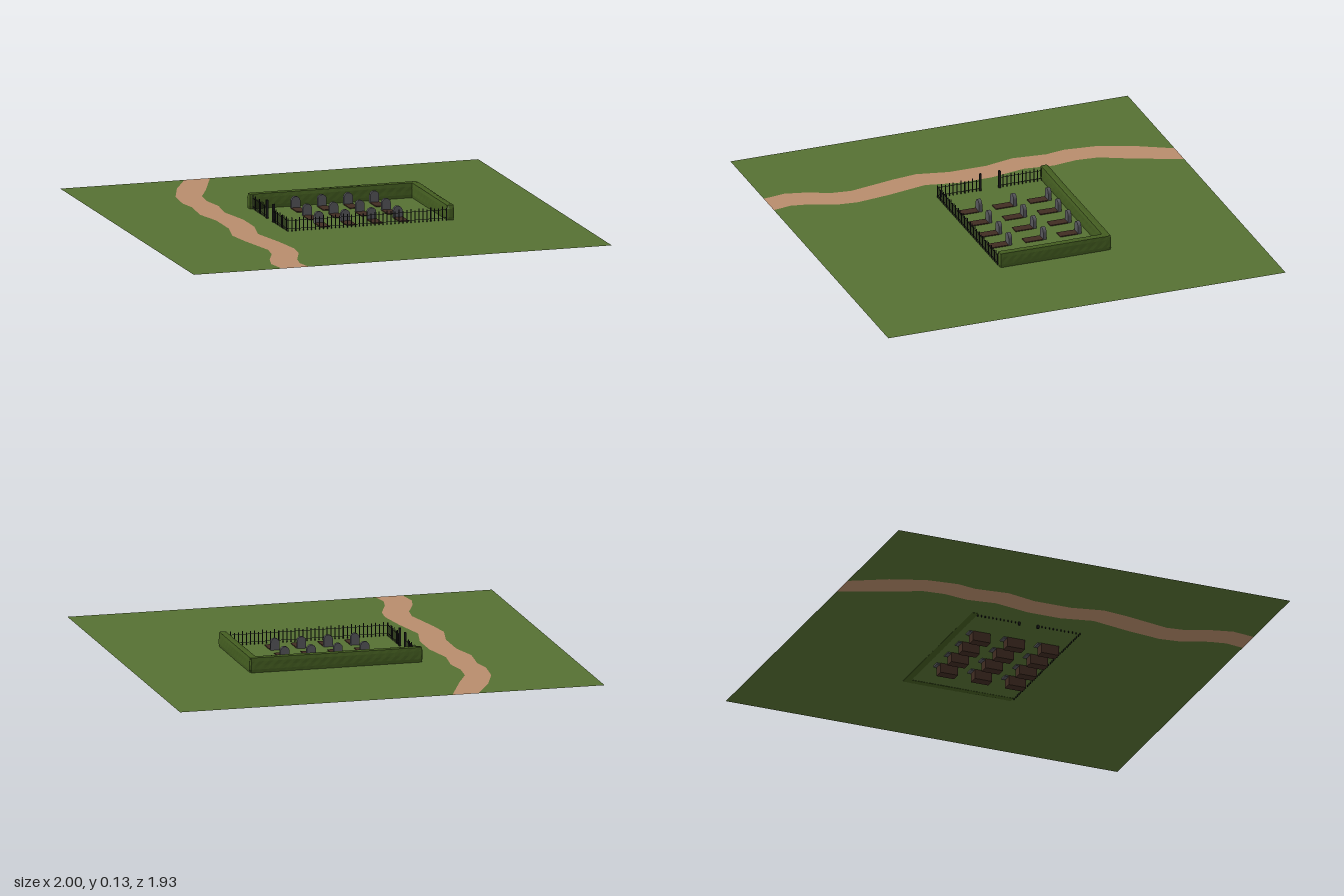
import * as THREE from 'three';
import { mergeVertices } from 'three/addons/utils/BufferGeometryUtils.js';

const GROUND = 0.046, DEPTH = 0.967;
const mat = (color, extra = {}) => new THREE.MeshStandardMaterial({ color, ...extra });
const grass = mat(0x567033, { side: THREE.DoubleSide });
const dirt = mat(0xb88c6c, { side: THREE.DoubleSide });
const soil = mat(0x402c22);
const stone = mat(0x55555a);
const iron = mat(0x1c1c1c);
const leaves = mat(0x435c20, { flatShading: true });

function add(parent, name, geometry, material, x = 0, y = 0, z = 0) {
  const mesh = new THREE.Mesh(geometry, material);
  mesh.name = name;
  mesh.position.set(x, y, z);
  parent.add(mesh);
  return mesh;
}

// Flat area from an outline of [x, z] points
function flat(points) {
  const shape = new THREE.Shape(points.map(([x, z]) => new THREE.Vector2(x, -z)));
  return new THREE.ShapeGeometry(shape).rotateX(-Math.PI / 2);
}

// Hedge along x: softened box with a leafy, uneven surface
function hedgeGeometry(length, height, width) {
  const n = Math.round(length / 0.022);
  let geo = new THREE.BoxGeometry(length, height, width, n, 4, 3);
  geo.deleteAttribute('normal');
  geo.deleteAttribute('uv');
  geo = mergeVertices(geo);
  const p = geo.attributes.position;
  for (let i = 0; i < p.count; i++) {
    let x = p.getX(i), y = p.getY(i), z = p.getZ(i);
    const wave = Math.sin(x * 211 + y * 97) * Math.cos(z * 173 + x * 67);
    const top = Math.abs(y) > height * 0.49;
    const side = Math.abs(z) > width * 0.49;
    const end = Math.abs(x) > length * 0.499;
    const round = top && side ? 0.86 : 1;
    z *= round * (1 + 0.06 * wave);
    y *= (top && (side || end) ? 0.95 : 1) * (1 + 0.025 * wave);
    if (end) x -= Math.sign(x) * (top || side ? 0.006 : 0);
    p.setXYZ(i, x, y, z);
  }
  geo.computeVertexNormals();
  return geo;
}

// Fence run along x: thin pickets of varied height and two rails
function fence(name, length) {
  const group = new THREE.Group();
  group.name = name;
  const count = Math.round(length / 0.019);
  for (let i = 0; i <= count; i++) {
    const h = 0.07 + 0.005 * Math.sin(i * 2.3);
    const x = -length / 2 + (i * length) / count;
    add(group, 'picket', new THREE.BoxGeometry(0.004, h, 0.003), iron, x, 0.037 + h / 2, 0);
  }
  for (const y of [0.058, 0.096])
    add(group, 'rail', new THREE.BoxGeometry(length, 0.002, 0.0015), iron, 0, y, 0);
  return group;
}

export function createModel() {
  const model = new THREE.Group();
  model.name = 'graveyard';

  // Winding path and the grass on either side of it
  const leftEdge = [[-0.406, -DEPTH], [-0.497, -0.8], [-0.556, -0.64], [-0.572, -0.49], [-0.556, -0.4],
    [-0.572, -0.24], [-0.54, -0.1], [-0.54, 0.08], [-0.572, 0.23], [-0.556, 0.35], [-0.513, 0.565],
    [-0.524, 0.655], [-0.572, 0.77], [-0.594, 0.86], [-0.578, DEPTH]];
  const rightEdge = [[-0.283, -DEPTH], [-0.38, -0.735], [-0.44, -0.61], [-0.45, -0.505], [-0.433, -0.39],
    [-0.45, -0.25], [-0.417, -0.08], [-0.417, 0.08], [-0.45, 0.23], [-0.412, 0.42], [-0.39, 0.58],
    [-0.4, 0.67], [-0.45, 0.8], [-0.465, 0.88], [-0.45, DEPTH]];
  add(model, 'path', flat([...leftEdge, ...[...rightEdge].reverse()]), dirt, 0, GROUND, 0);
  // Outlines run counter-clockwise so every surface faces up
  add(model, 'grassLeftOfPath', flat([...leftEdge, [-1, DEPTH], [-1, -DEPTH]]), grass, 0, GROUND, 0);
  add(model, 'grassRightOfPath', flat([...rightEdge, [1, DEPTH], [1, -DEPTH]]), grass, 0, GROUND, 0);

  // Hedges along the back and one side
  add(model, 'backHedge', hedgeGeometry(0.815, 0.074, 0.036), leaves, 0.083, 0.08, -0.297);
  add(model, 'sideHedge', hedgeGeometry(0.54, 0.074, 0.036), leaves, 0.473, 0.08, -0.041)
    .rotation.y = Math.PI / 2;

  // Iron fences, with an entrance between two posts
  const front = fence('frontFence', 0.76);
  front.position.set(0.075, 0, 0.225);
  model.add(front);
  for (const [name, z0, z1] of [['backSideFence', -0.28, -0.075], ['frontSideFence', 0.018, 0.225]]) {
    const run = fence(name, z1 - z0);
    run.position.set(-0.305, 0, (z0 + z1) / 2);
    run.rotation.y = Math.PI / 2;
    model.add(run);
  }
  for (const z of [-0.075, 0.018])
    add(model, 'gatePost', new THREE.BoxGeometry(0.01, 0.1, 0.01), iron, -0.305, 0.081, z);

  // Round-topped headstone
  const r = 0.021;
  const outline = new THREE.Shape();
  outline.moveTo(-r, 0);
  outline.lineTo(r, 0);
  outline.lineTo(r, 0.04);
  outline.absarc(0, 0.04, r, 0, Math.PI, false);
  outline.closePath();
  const headstone = new THREE.ExtrudeGeometry(outline, { depth: 0.016, bevelEnabled: false, curveSegments: 10 });
  const plot = new THREE.BoxGeometry(0.046, 0.05, 0.086);

  // Three rows of four graves
  for (const z of [-0.188, -0.019, 0.149])
    for (const x of [-0.115, 0.011, 0.137, 0.262]) {
      const grave = new THREE.Group();
      grave.name = 'grave';
      grave.position.set(x, 0, z);
      add(grave, 'gravePlot', plot, soil, 0, 0.025, 0);
      add(grave, 'headstone', headstone, stone, 0, 0.04, -0.06);
      model.add(grave);
    }
  return model;
}
